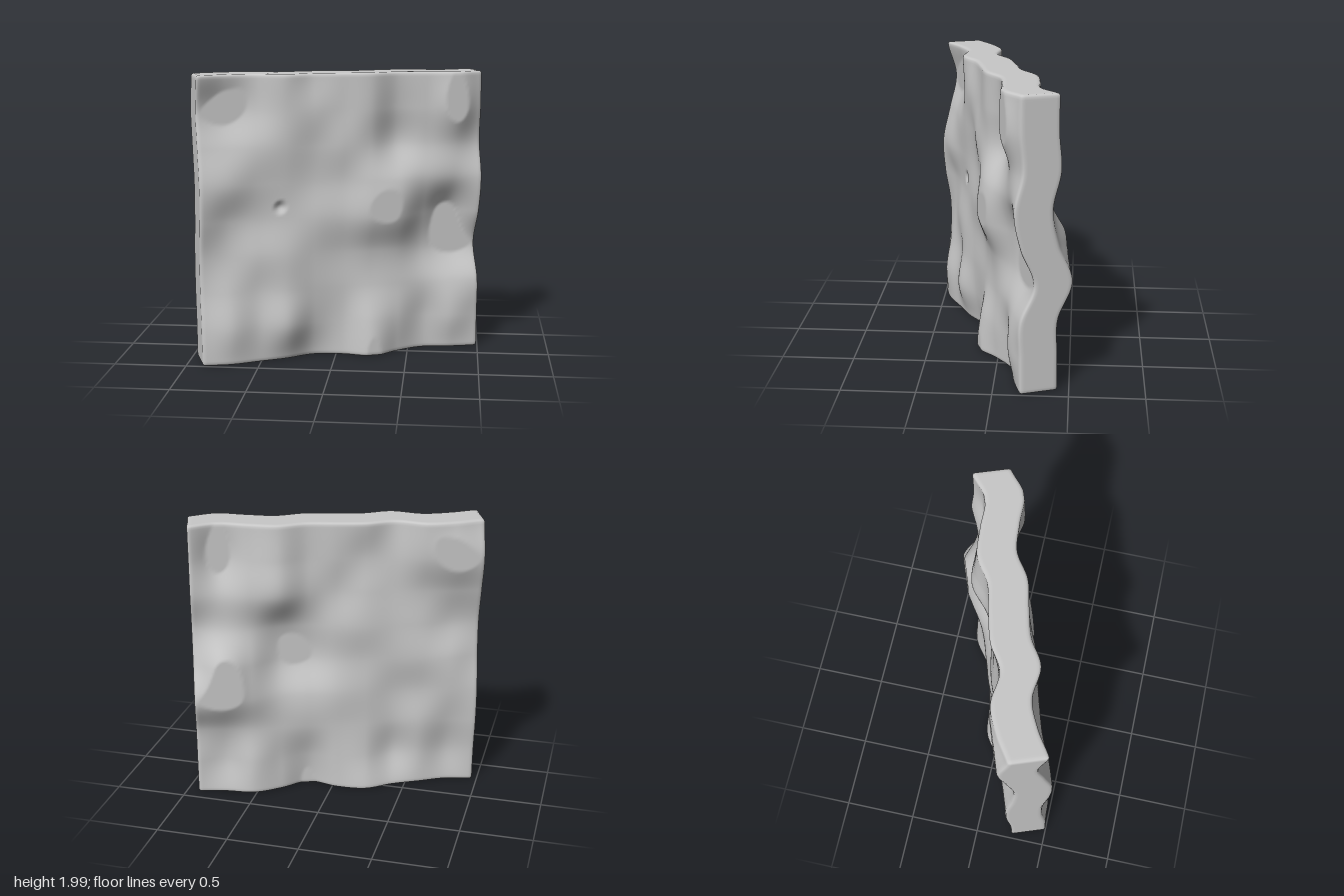
import * as THREE from 'three';
import { mergeVertices } from 'three/addons/utils/BufferGeometryUtils.js';

const W = 2, H = 1.99, T = 0.262, R = 0.02;

// Swell of the slab in hundredths: rows run top to bottom, columns left to right
const SWELL = [
  [1, -3.5, -4.5, 4, 0.5, 2, 4, 0, 4.5, 10, 4],
  [-5.5, -8, -4, 3, 4, 3, 4, -2, 3, 12.5, 4],
  [-0.5, 0, 2, 3, 2, 5, 3, -4, 0, 5, 2.5],
  [5, 5, 2, 1.5, 0.5, 3, 8, 8, 4, 4, 8],
  [4, 0, 0, 1.5, 3, 4.5, 10, 9.5, -1.5, -8, 4],
  [0, 0, 3, 4.5, 2, 0.5, 2, 2, -4, -8, -5.5],
  [0, 3.5, 2, 5, 2, 1, 2, 2, 1, 3, 4],
  [3, 8, 4.5, 8, 0.5, 1, 8, 4, -1, 6, 4],
  [4, 6, 3.5, 1, -4, 1, 11, 3, -2, 2, 4],
];

// Smooth curve through evenly spaced values, t running from 0 to 1
function spline(values, t) {
  const last = values.length - 1;
  const u = THREE.MathUtils.clamp(t, 0, 1) * last;
  const i = Math.min(Math.floor(u), last - 1);
  const f = u - i;
  const at = (k) => values[THREE.MathUtils.clamp(k, 0, last)];
  const [a, b, c, d] = [at(i - 1), at(i), at(i + 1), at(i + 2)];
  return b + 0.5 * f * (c - a + f * (2 * a - 5 * b + 4 * c - d + f * (3 * (b - c) + d - a)));
}

// Wave height at a point, cut flat at the highest and lowest levels
function swell(x, y) {
  const h = spline(SWELL.map((row) => spline(row, x / W + 0.5)), 0.5 - y / H) / 100;
  return THREE.MathUtils.clamp(h, -0.058, 0.098);
}

export function createModel() {
  const group = new THREE.Group();
  group.name = 'wavySlab';
  const grey = new THREE.MeshStandardMaterial({ color: 0xc8c8c8 });
  grey.name = 'stone grey';

  const box = new THREE.BoxGeometry(W, H, T, 130, 130, 16);
  const pos = box.attributes.position;
  const p = new THREE.Vector3();
  const inner = new THREE.Vector3();
  const low = new THREE.Vector3(-W / 2 + R, -H / 2 + R, -T / 2 + R);
  const high = low.clone().negate();

  for (let i = 0; i < pos.count; i++) {
    p.fromBufferAttribute(pos, i);
    const front = p.z > T / 2 - 0.001;
    // soft edges
    inner.copy(p).clamp(low, high);
    p.sub(inner).setLength(R).add(inner);
    // small pit in the front face
    const pit = Math.hypot(p.x + 0.44, p.y - 0.085) / 0.055;
    if (front && pit < 1) p.z -= 0.025 * (1 - pit * pit) ** 2;
    // both faces follow the same waves
    p.z += swell(p.x, p.y);
    pos.setXYZ(i, p.x, p.y, p.z);
  }
  box.deleteAttribute('normal');
  box.deleteAttribute('uv');
  const geometry = mergeVertices(box, 1e-5);
  geometry.computeVertexNormals();

  const slab = new THREE.Mesh(geometry, grey);
  slab.name = 'slab';
  slab.position.y = H / 2;
  slab.rotation.y = THREE.MathUtils.degToRad(20);
  group.add(slab);
  return group;
}
